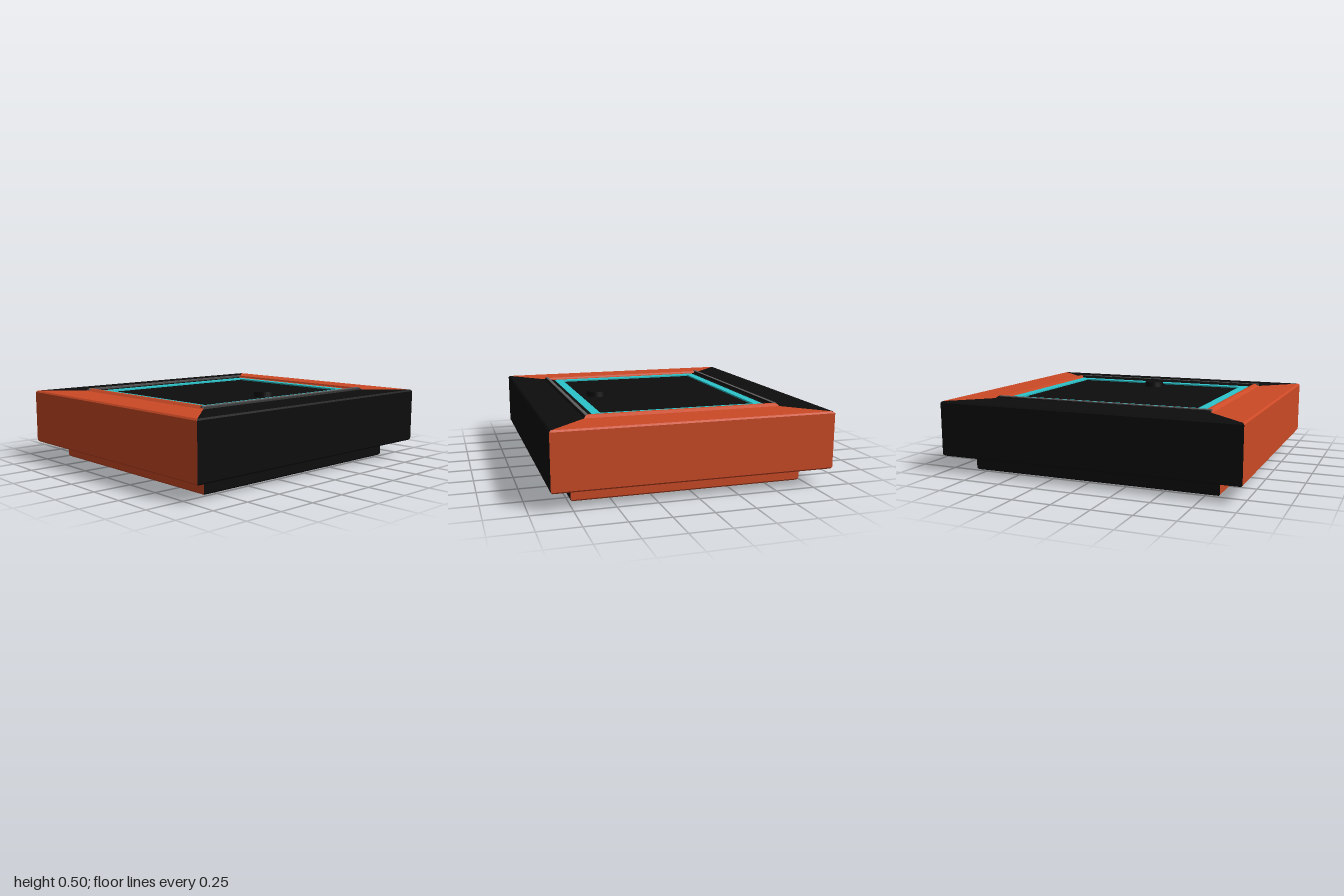
import * as THREE from 'three';

const ORANGE = 0xcc4a26, BLACK = 0x0d0d0d, TEAL = 0x2bc4cb, GREY = 0x606060;

function material(color) {
  return new THREE.MeshStandardMaterial({ color, flatShading: true, side: THREE.DoubleSide });
}

function mesh(name, geometry, color, x = 0, y = 0, z = 0) {
  const m = new THREE.Mesh(geometry, material(color));
  m.name = name;
  m.position.set(x, y, z);
  return m;
}

// Panels joining successive rectangles [halfX, halfZ, y] on one of the four sides,
// so that neighbouring sides meet in a mitre.
function mitredSide(rings, side) {
  const corners = [[-1, 1], [1, 1], [1, -1], [-1, -1]]; // front, left, back, right
  const a = corners[side], b = corners[(side + 1) % 4];
  const point = (c, [hx, hz, y]) => [c[0] * hx, y, c[1] * hz];
  const positions = [];
  for (let i = 0; i < rings.length - 1; i++) {
    const p = point(a, rings[i]), q = point(b, rings[i]);
    const r = point(b, rings[i + 1]), s = point(a, rings[i + 1]);
    positions.push(...p, ...q, ...r, ...p, ...r, ...s);
  }
  const g = new THREE.BufferGeometry();
  g.setAttribute('position', new THREE.Float32BufferAttribute(positions, 3));
  g.computeVertexNormals();
  return g;
}

function rectangle(shape, hx, hz) {
  return shape.moveTo(-hx, -hz).lineTo(hx, -hz).lineTo(hx, hz).lineTo(-hx, hz).closePath();
}

export function createModel() {
  const model = new THREE.Group();

  // Section of the casing from the plinth foot, round the body, to the inner lip
  const section = [
    [0.825, 0.725, 0], [0.835, 0.735, 0.01], [0.835, 0.735, 0.095], [0.85, 0.748, 0.108],
    [0.99, 0.865, 0.108], [1, 0.875, 0.118], [1, 0.875, 0.46], [0.99, 0.865, 0.47],
    [0.745, 0.628, 0.47], [0.725, 0.615, 0.485], [0.705, 0.597, 0.485],
    [0.7, 0.59, 0.474], [0.68, 0.56, 0.47], [0.68, 0.56, 0.44],
  ];
  ['front', 'left', 'back', 'right'].forEach((name, i) => {
    model.add(mesh(name + 'Casing', mitredSide(section, i), i % 2 ? ORANGE : BLACK));
  });

  // Underside of the plinth
  model.add(mesh('plinthBottom', new THREE.BoxGeometry(1.65, 0.01, 1.45), ORANGE, 0, 0.005, 0));

  // Grey trim strips along the front and back lips
  for (const s of [1, -1]) {
    const strip = new THREE.BoxGeometry(1.46, 0.012, 0.02);
    model.add(mesh(s > 0 ? 'frontTrim' : 'backTrim', strip, GREY, -0.01, 0.481, s * 0.608));
  }

  // Teal border around the recessed top panel
  const border = rectangle(new THREE.Shape(), 0.68, 0.56);
  border.holes.push(rectangle(new THREE.Path(), 0.623, 0.503));
  const borderGeometry = new THREE.ExtrudeGeometry(border, { depth: 0.03, bevelEnabled: false });
  borderGeometry.rotateX(-Math.PI / 2);
  model.add(mesh('tealBorder', borderGeometry, TEAL, 0, 0.442, 0));
  model.add(mesh('topPanel', new THREE.BoxGeometry(1.25, 0.02, 1.01), BLACK, 0, 0.452, 0));

  // Round button near the front of the panel
  const button = new THREE.CylinderGeometry(0.065, 0.07, 0.035, 32);
  model.add(mesh('button', button, BLACK, 0, 0.4785, 0.385));

  return model;
}
